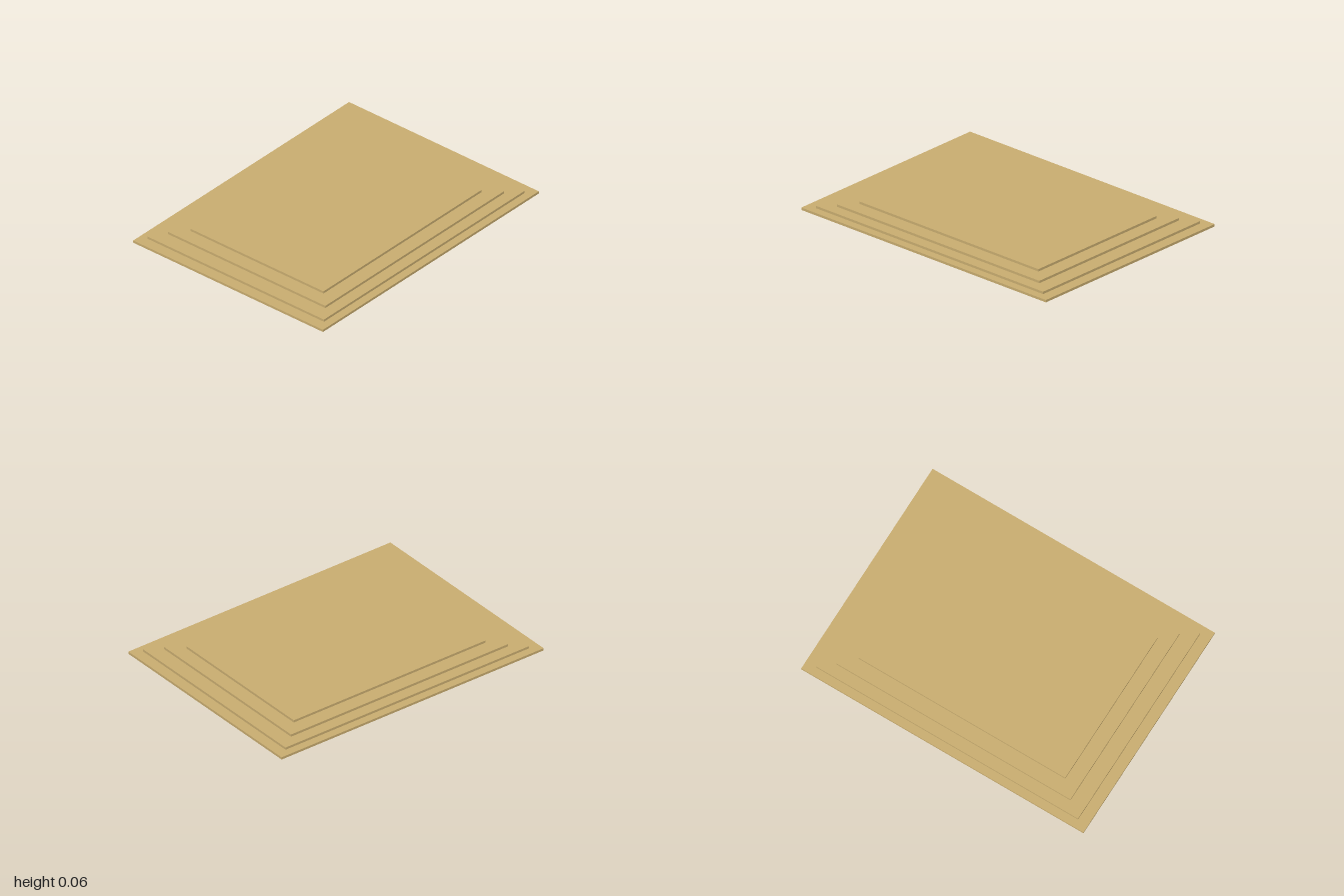
import * as THREE from 'three';

export function createModel() {
  const group = new THREE.Group();
  group.name = 'steppedPlatform';
  const material = new THREE.MeshStandardMaterial({ color: 0xc9ad70 });

  // Four thin slabs stacked from the widest to the narrowest: [width, depth]
  const stepHeight = 0.0157;
  const steps = [
    [2, 1.506],
    [1.858, 1.4],
    [1.656, 1.248],
    [1.464, 1.055],
  ];
  steps.forEach(([width, depth], i) => {
    const step = new THREE.Mesh(new THREE.BoxGeometry(width, stepHeight, depth), material);
    step.name = i === 0 ? 'baseSlab' : i === steps.length - 1 ? 'topSlab' : `middleSlab${i}`;
    step.position.y = stepHeight * (i + 0.5);
    group.add(step);
  });

  return group;
}
